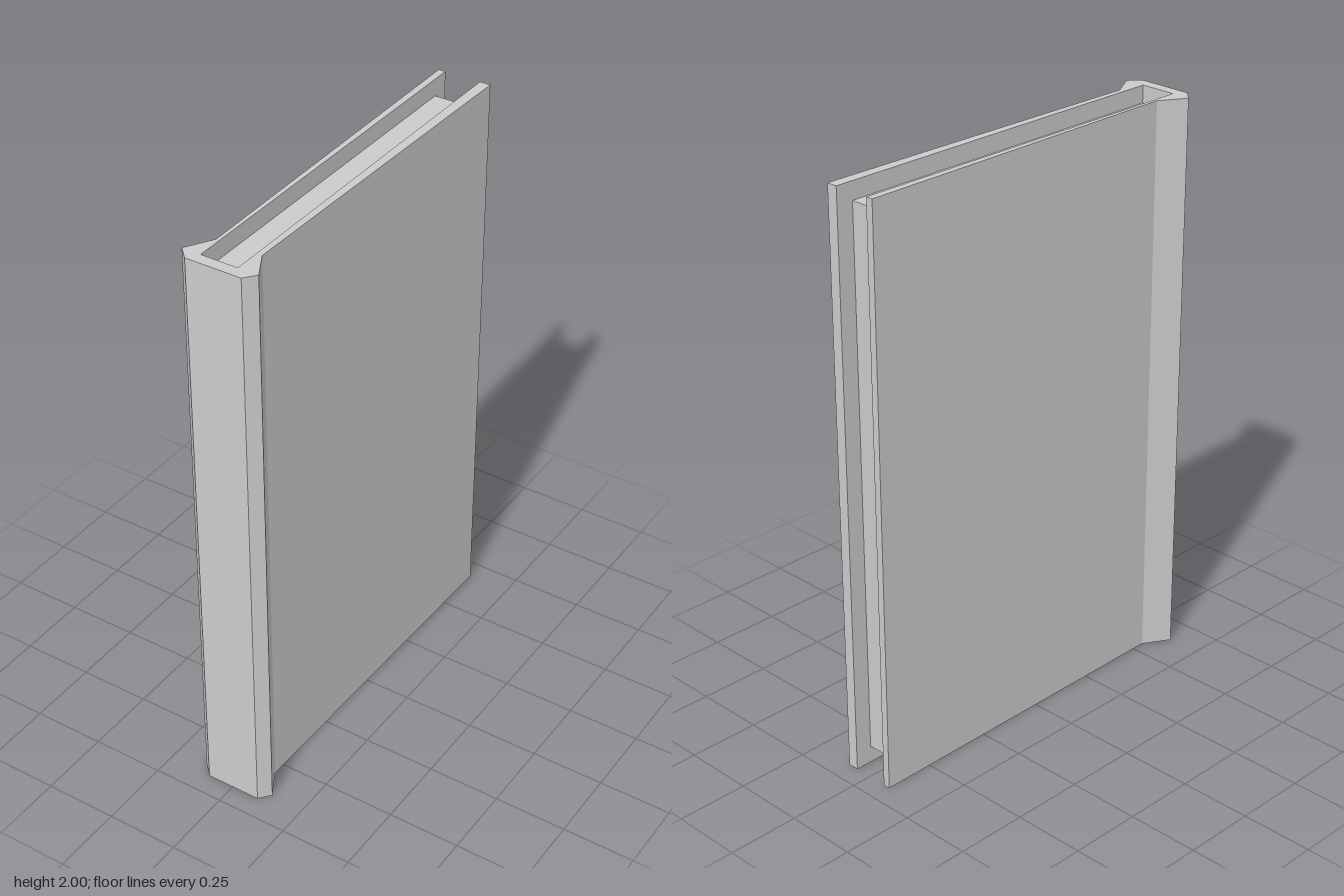
import * as THREE from 'three';

const HEIGHT = 2;
const PAGE_INSET = 0.06;

export function createModel() {
  const group = new THREE.Group();
  group.name = 'book';
  const material = new THREE.MeshStandardMaterial({ color: 0xcccccc, flatShading: true });

  // Cover: a U-shaped plan of [x, z] corners, two boards joined by a flared spine
  const plan = [
    [-0.092, -0.68], [-0.079, 0.547], [-0.133, 0.637], [-0.094, 0.676],
    [0.099, 0.676], [0.131, 0.637], [0.08, 0.547], [0.098, -0.68],
    [0.06, -0.68], [0.06, 0.637], [-0.067, 0.637], [-0.067, -0.68],
  ];
  const shape = new THREE.Shape(plan.map(([x, z]) => new THREE.Vector2(x, -z)));
  const coverGeometry = new THREE.ExtrudeGeometry(shape, { depth: HEIGHT, bevelEnabled: false });
  coverGeometry.rotateX(-Math.PI / 2);
  const cover = new THREE.Mesh(coverGeometry, material);
  cover.name = 'cover';

  // Page block: fills the cover, set back from the top, bottom and open edge
  const back = -0.62, front = 0.637, right = -0.067, left = 0.06;
  const pages = new THREE.Mesh(
    new THREE.BoxGeometry(left - right, HEIGHT - 2 * PAGE_INSET, front - back),
    material
  );
  pages.position.set((left + right) / 2, HEIGHT / 2, (front + back) / 2);
  pages.name = 'pages';

  group.add(cover, pages);
  return group;
}
